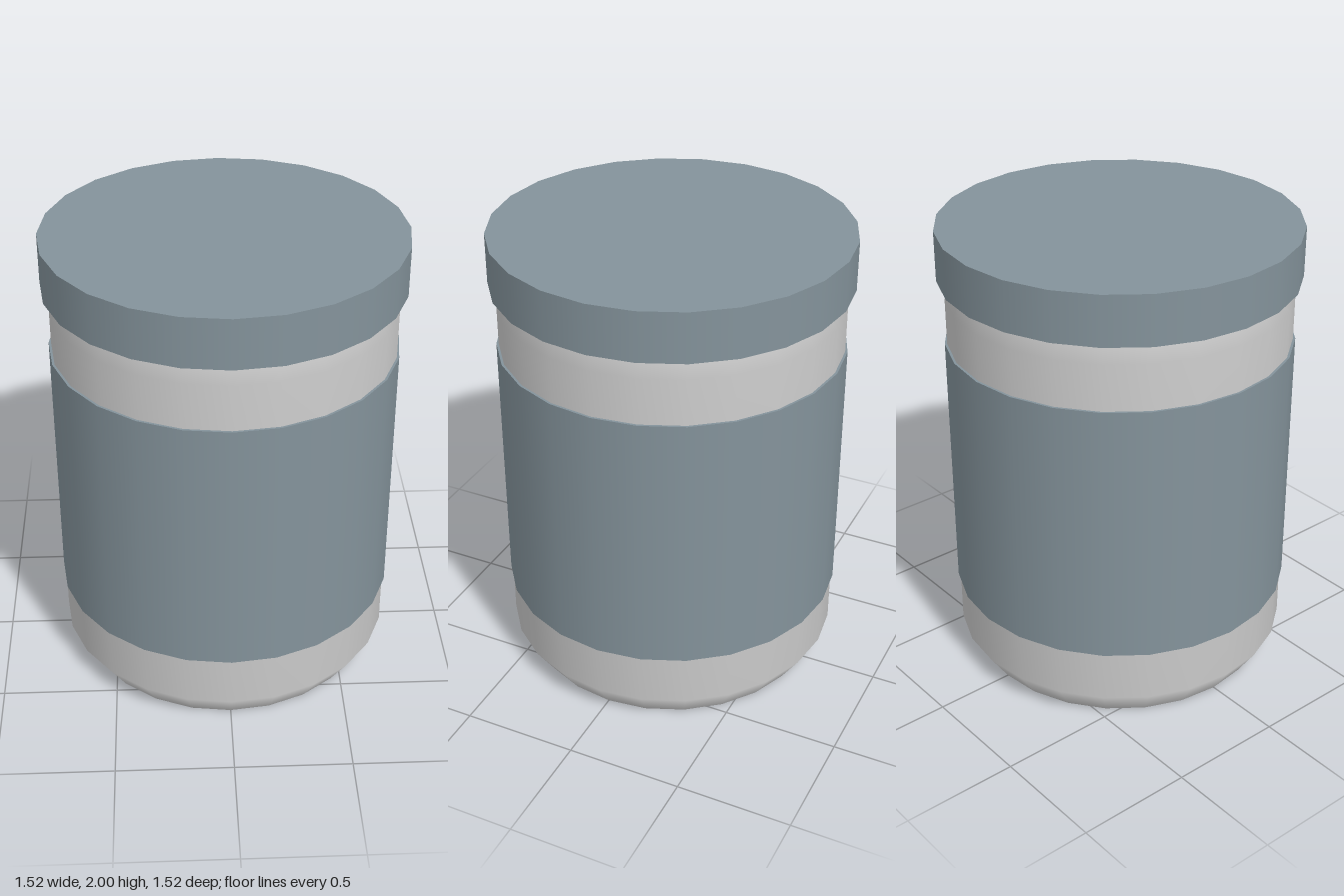
import * as THREE from 'three';

const SIDES = 24;

export function createModel() {
  const group = new THREE.Group();
  const grey = new THREE.MeshStandardMaterial({ color: 0xcccccc });
  const blueGrey = new THREE.MeshStandardMaterial({ color: 0x84939b });

  const add = (name, geometry, material, y = 0) => {
    const mesh = new THREE.Mesh(geometry, material);
    mesh.name = name;
    mesh.position.y = y;
    group.add(mesh);
    return mesh;
  };
  // closed cylinder between two heights
  const band = (name, radius, bottom, top) =>
    add(name, new THREE.CylinderGeometry(radius, radius, top - bottom, SIDES), blueGrey, (bottom + top) / 2);

  // jar wall: bevelled foot, straight side, shoulder running up inside the lid
  const profile = [[0.65, 0], [0.73, 0.12], [0.73, 1.7], [0.65, 1.8], [0.65, 1.9]]
    .map(([r, y]) => new THREE.Vector2(r, y));
  add('jarBody', new THREE.LatheGeometry(profile, SIDES), grey);

  // flat base, facing down
  add('jarBase', new THREE.CircleGeometry(0.65, SIDES).rotateX(Math.PI / 2), grey);

  band('label', 0.74, 0.35, 1.5);
  band('lid', 0.76, 1.785, 2);

  return group;
}
